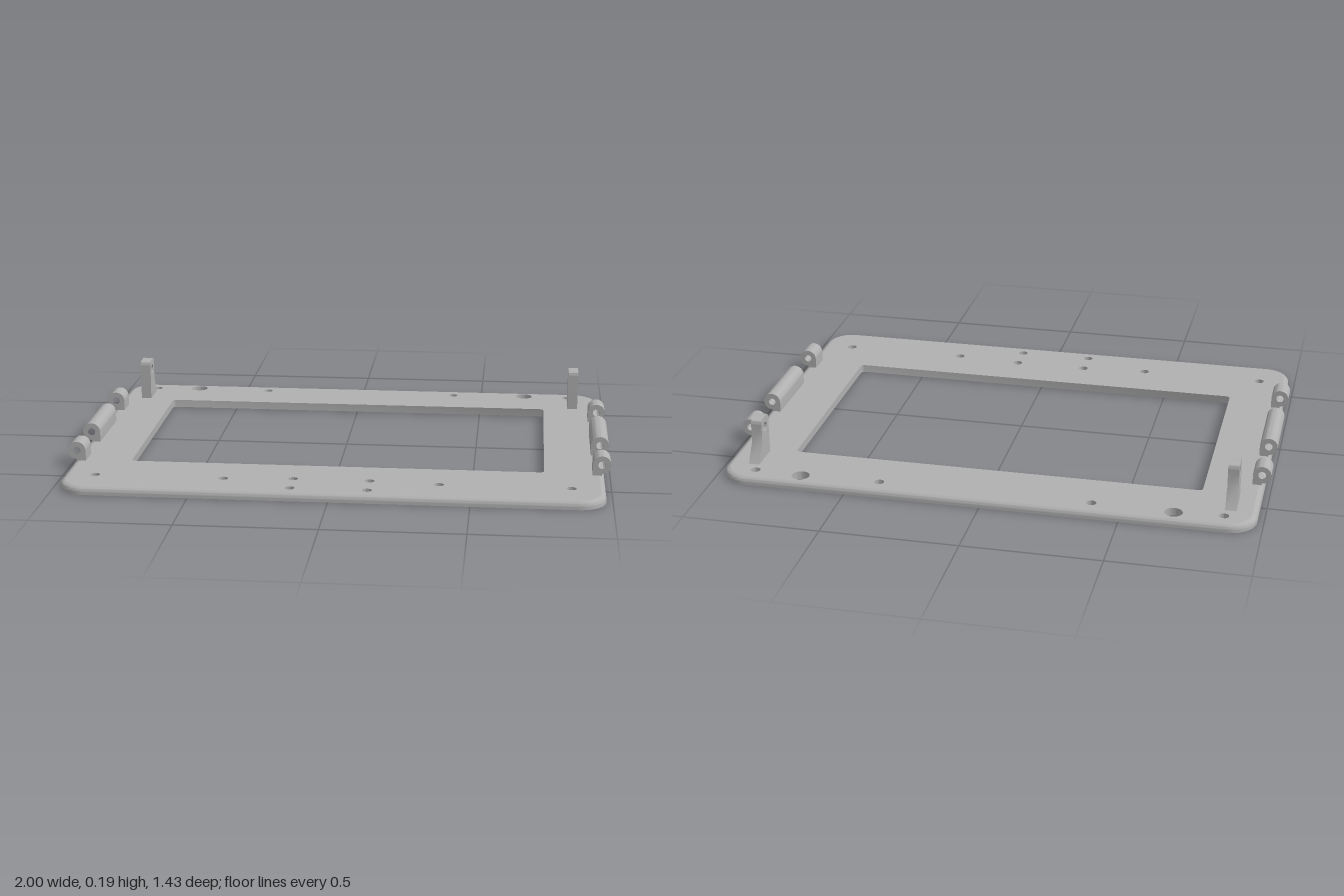
import * as THREE from 'three';
import { toCreasedNormals } from 'three/addons/utils/BufferGeometryUtils.js';

const HALF_W = 0.977, HALF_D = 0.713, CORNER = 0.1, THICK = 0.03, FILLET = 0.02;

// Rounded rectangle outline, counter-clockwise
function roundedRect(cx, cy, hw, hd, r, steps = 10) {
  const pts = [];
  [[1, 1], [-1, 1], [-1, -1], [1, -1]].forEach(([sx, sy], k) => {
    for (let i = 0; i <= steps; i++) {
      const a = (k + i / steps) * Math.PI / 2;
      pts.push(new THREE.Vector2(cx + sx * (hw - r) + r * Math.cos(a), cy + sy * (hd - r) + r * Math.sin(a)));
    }
  });
  return pts;
}

function circleHole(x, y, r) {
  return new THREE.Path().absarc(x, y, r, 0, Math.PI * 2, true);
}

function extrude(shape, depth, curveSegments = 16) {
  const g = new THREE.ExtrudeGeometry(shape, { depth, bevelEnabled: false, curveSegments });
  return toCreasedNormals(g, 0.6);
}

// Flat panel with the window and screw holes, inside the filleted rim
function panelGeometry() {
  const shape = new THREE.Shape(roundedRect(0, 0, HALF_W - FILLET, HALF_D - FILLET, CORNER - FILLET));
  shape.holes.push(new THREE.Path(roundedRect(-0.003, 0.04, 0.762, 0.425, 0.015, 4)));
  for (const x of [-0.863, -0.393, 0.385, 0.855])
    for (const z of [-0.645, 0.564]) shape.holes.push(circleHole(x, -z, 0.018));
  for (const x of [-0.142, 0.134])
    for (const z of [0.545, 0.652]) shape.holes.push(circleHole(x, -z, 0.018));
  for (const x of [-0.687, 0.679]) shape.holes.push(circleHole(x, 0.655, 0.033));
  return extrude(shape, THICK).rotateX(-Math.PI / 2);
}

// Rim lofted through outlines: flat underside, straight wall, rounded top edge
function rimGeometry() {
  const profile = [[FILLET, 0], [0, 0]];
  for (let i = 0; i <= 6; i++) {
    const a = i / 6 * Math.PI / 2;
    profile.push([FILLET * (1 - Math.cos(a)), THICK - FILLET + FILLET * Math.sin(a)]);
  }
  const pos = [], index = [];
  let n = 0;
  for (const [inset, y] of profile) {
    const ring = roundedRect(0, 0, HALF_W - inset, HALF_D - inset, CORNER - inset);
    n = ring.length;
    for (const p of ring) pos.push(p.x, y, -p.y);
  }
  for (let i = 0; i < profile.length - 1; i++)
    for (let j = 0; j < n; j++) {
      const a = i * n + j, b = i * n + (j + 1) % n;
      index.push(a, b, b + n, a, b + n, a + n);
    }
  const g = new THREE.BufferGeometry();
  g.setAttribute('position', new THREE.Float32BufferAttribute(pos, 3));
  g.setIndex(index);
  return toCreasedNormals(g, 0.6);
}

// Hinge barrel with a square foot on its inner side
function hingeGeometry(side, z0, z1) {
  const cx = 0.967, cy = 0.069, r = 0.033, pts = [];
  for (let i = 0; i <= 24; i++) {
    const a = -Math.PI / 2 + i / 24 * Math.PI * 1.5;
    pts.push(new THREE.Vector2(side * (cx + r * Math.cos(a)), cy + r * Math.sin(a)));
  }
  pts.push(new THREE.Vector2(side * (cx - r), 0.026), new THREE.Vector2(side * cx, 0.026));
  const shape = new THREE.Shape(pts);
  shape.holes.push(circleHole(side * cx, cy, 0.014));
  return extrude(shape, z1 - z0).translate(0, 0, z0);
}

// Upright lug with a pin hole and a sloping rear brace
function lugGeometry(x0) {
  const s = new THREE.Shape();
  s.moveTo(0.481, 0.025);
  s.lineTo(0.605, 0.025);
  s.lineTo(0.556, 0.101);
  s.lineTo(0.556, 0.169);
  s.quadraticCurveTo(0.556, 0.187, 0.538, 0.187);
  s.lineTo(0.499, 0.187);
  s.quadraticCurveTo(0.481, 0.187, 0.481, 0.169);
  s.closePath();
  s.holes.push(circleHole(0.519, 0.147, 0.018));
  return extrude(s, 0.04).rotateY(Math.PI / 2).translate(x0, 0, 0);
}

export function createModel() {
  const model = new THREE.Group();
  model.name = 'hingedFrame';
  const grey = new THREE.MeshStandardMaterial({ color: 0xb0b0b0 });
  grey.name = 'grey';
  const add = (name, geometry) => {
    const mesh = new THREE.Mesh(geometry, grey);
    mesh.name = name;
    model.add(mesh);
  };

  add('framePanel', panelGeometry());
  add('frameRim', rimGeometry());

  // Three barrels along each side
  const barrels = [['rear', -0.377, -0.293], ['middle', -0.133, 0.156], ['front', 0.316, 0.402]];
  for (const [sideName, side] of [['Left', 1], ['Right', -1]])
    for (const [name, z0, z1] of barrels) add(name + sideName + 'Hinge', hingeGeometry(side, z0, z1));

  add('leftLug', lugGeometry(0.856));
  add('rightLug', lugGeometry(-0.901));
  return model;
}
